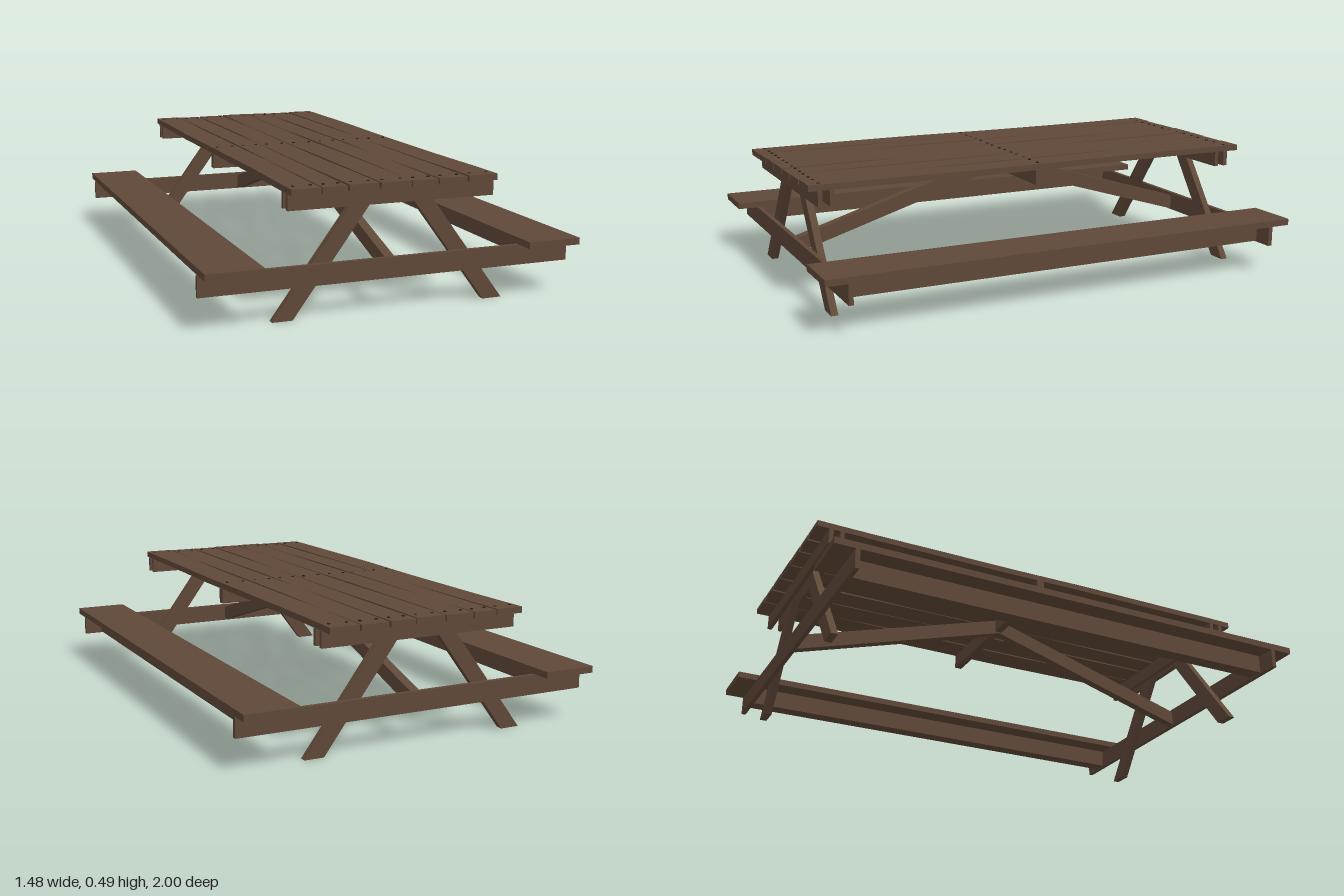
import * as THREE from 'three';

const wood = new THREE.MeshStandardMaterial({ color: 0x5f4838 });
wood.name = 'brownWood';
const iron = new THREE.MeshStandardMaterial({ color: 0x2b211b });
iron.name = 'darkIron';

export function createModel() {
  const table = new THREE.Group();
  table.name = 'picnicTable';

  const add = (name, geometry, material = wood) => {
    const mesh = new THREE.Mesh(geometry, material);
    mesh.name = name;
    table.add(mesh);
    return mesh;
  };
  // Board given by its limits on each axis
  const board = (name, [x0, x1], [y0, y1], [z0, z1]) => {
    const mesh = add(name, new THREE.BoxGeometry(x1 - x0, y1 - y0, z1 - z0));
    mesh.position.set((x0 + x1) / 2, (y0 + y1) / 2, (z0 + z1) / 2);
  };
  // Flat outline in x/y, given thickness along z
  const slab = (name, points, z0, z1) => {
    const shape = new THREE.Shape(points.map(([x, y]) => new THREE.Vector2(x, y)));
    const geometry = new THREE.ExtrudeGeometry(shape, { depth: z1 - z0, bevelEnabled: false });
    return add(name, geometry.translate(0, 0, z0));
  };

  // Table top: seven slightly wavy planks, each nailed to three cross beams
  const seams = [-0.413, -0.296, -0.195, -0.073, 0.052, 0.161, 0.28, 0.405];
  const nail = new THREE.CylinderGeometry(0.006, 0.006, 0.004, 8);
  for (let i = 0; i < 7; i++) {
    const x0 = seams[i] + 0.002, x1 = seams[i + 1] - 0.002;
    const width = x1 - x0, mid = (x0 + x1) / 2;
    const plank = new THREE.BoxGeometry(width, 0.024, 1.925, 1, 1, 20);
    const p = plank.attributes.position;
    for (let k = 0; k < p.count; k++) {
      const x = p.getX(k), z = p.getZ(k);
      const wave = 0.0025 * Math.sin(z * 5 + i * 2.3 + Math.sign(x));
      p.setX(k, x - Math.sign(x) * Math.abs(wave));
      p.setY(k, p.getY(k) + 0.0015 * Math.sin(z * 4 + i * 1.7));
    }
    plank.computeVertexNormals();
    add('topPlank', plank).position.set(mid, 0.478, -0.007 - i * 0.001);

    for (const z of [-0.92, -0.008, 0.905]) {
      for (const side of [-1, 1]) {
        add('nail', nail, iron).position.set(mid + side * width * 0.29, 0.491, z);
      }
    }
  }

  // Middle cross beam under the top
  board('middleCrossBeam', [-0.41, 0.405], [0.405, 0.467], [-0.018, 0.012]);

  for (const end of [-1, 1]) {
    const c = end > 0 ? 0.883 : -0.889;
    const span = (a, b) => [c + end * a, c + end * b].sort((m, n) => m - n);

    // Pair of cross beams clamping the leg tops, and the long seat beam
    board('outerCrossBeam', [-0.41, 0.405], [0.405, 0.467], span(0.014, 0.032));
    board('innerCrossBeam', [-0.41, 0.405], [0.405, 0.467], span(-0.03, -0.014));
    board('seatBeam', [-0.74, 0.735], [0.125, 0.203], span(0.014, 0.032));

    // Splayed legs cut level at both ends
    for (const side of [-1, 1]) {
      const corners = [[0.385, 0], [0.463, 0], [0.12, 0.465], [0.042, 0.465]];
      slab('leg', corners.map(([x, y]) => [x * side, y]), ...span(-0.014, 0.014));
    }

    // Diagonal brace from the middle of the top down to the seat beam
    const brace = slab('brace', [[0, 0.401], [0, 0.463], [0.9, 0.191], [0.9, 0.129]], -0.019, 0.019);
    brace.rotation.y = -end * Math.PI / 2;
  }

  // Bench seats with a rail running under each
  for (const side of [-1, 1]) {
    const across = (a, b) => [a * side, b * side].sort((m, n) => m - n);
    board('benchSeat', across(0.52, 0.737), [0.205, 0.231], [-1, 1]);
    board('benchRail', across(0.6, 0.66), [0.13, 0.206], [-0.9, 0.896]);
  }

  return table;
}
